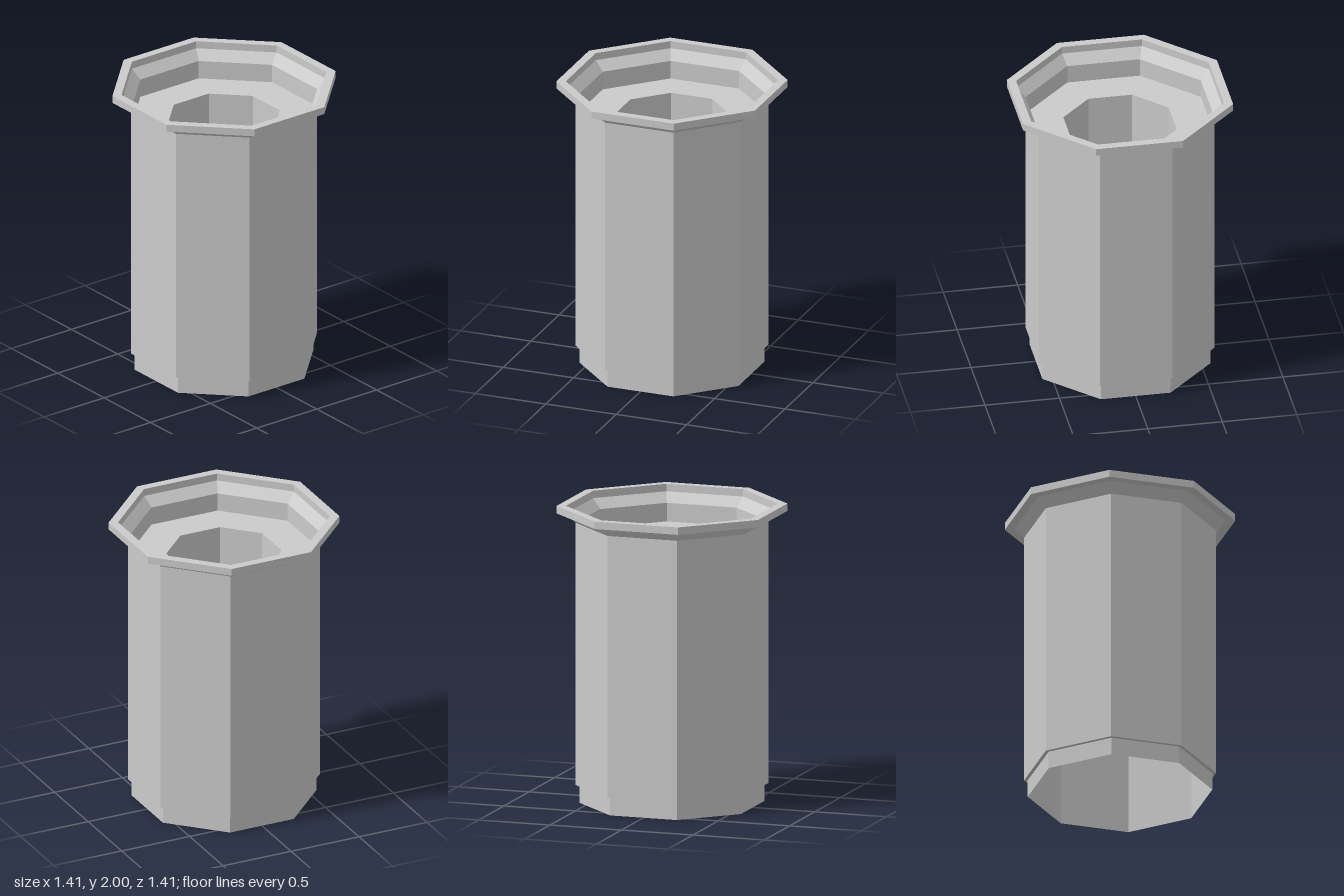
import * as THREE from 'three';

const SIDES = 8;
const material = new THREE.MeshStandardMaterial({
  color: 0xcccccc, flatShading: true, side: THREE.DoubleSide,
});

// Octagonal shell from [distance to flat, height] pairs, with flats facing the axes
function octagonShell(name, profile) {
  const points = profile.map(([flat, y]) =>
    new THREE.Vector2(flat / Math.cos(Math.PI / SIDES), y));
  const geometry = new THREE.LatheGeometry(points, SIDES, Math.PI / SIDES);
  const mesh = new THREE.Mesh(geometry, material);
  mesh.name = name;
  return mesh;
}

export function createModel() {
  const group = new THREE.Group();
  group.name = 'octagonalContainer';

  // Outer wall, flaring out to meet the rim
  group.add(octagonShell('body', [[0.565, 0.12], [0.588, 0.12], [0.588, 1.885], [0.647, 1.95]]));

  // Flat rim around the mouth
  group.add(octagonShell('rim', [[0.647, 1.95], [0.705, 1.95], [0.705, 2], [0.647, 2], [0.647, 1.95]]));

  // Straight sleeve, open at the bottom and showing below the body as a foot
  group.add(octagonShell('baseSleeve', [[0.565, 0], [0.565, 1.76]]));

  // Ledge inside the mouth with a deep central well
  group.add(octagonShell('innerWell', [[0, 1.0], [0.353, 1.0], [0.353, 1.76], [0.588, 1.76]]));

  return group;
}
